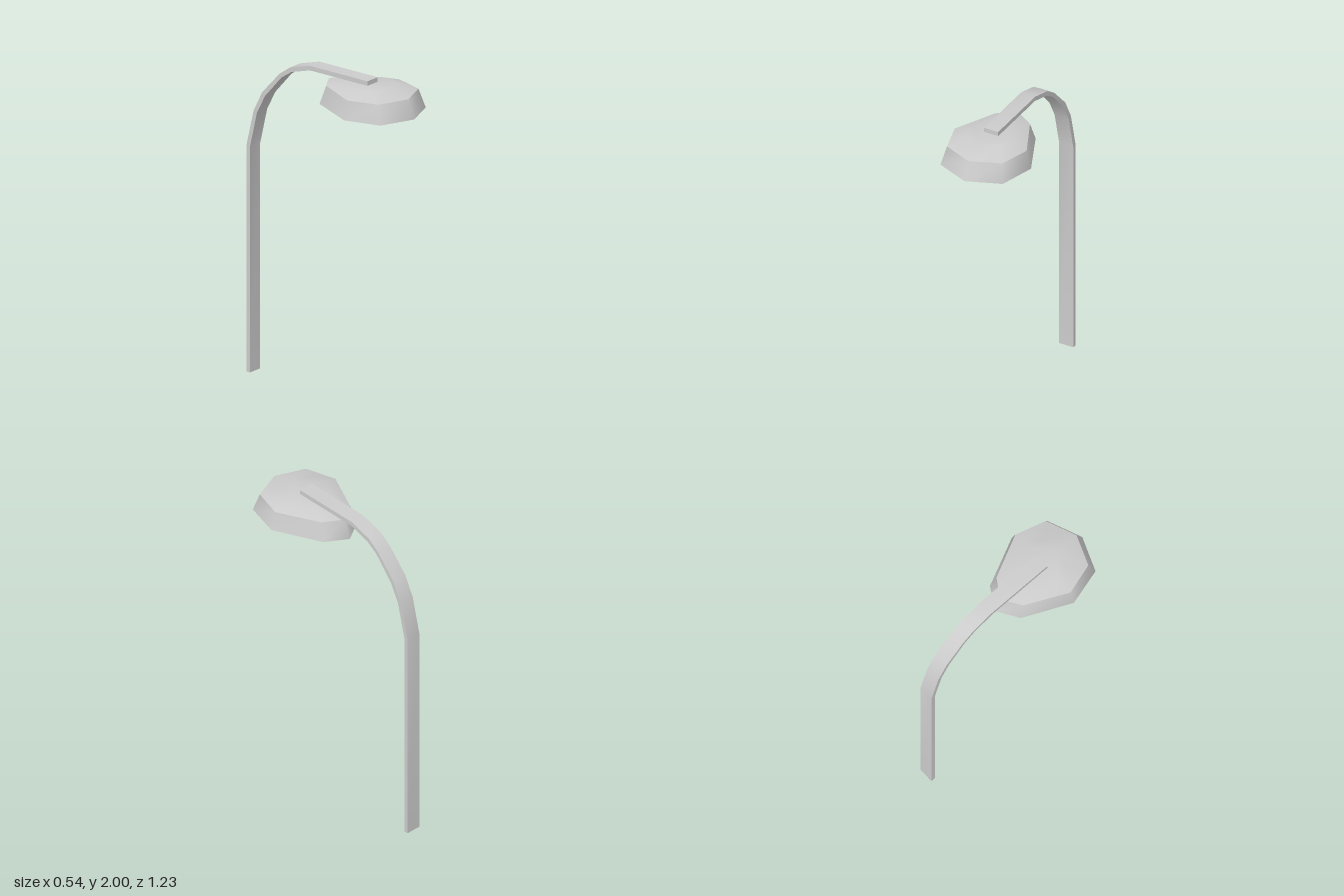
import * as THREE from 'three';
import { toCreasedNormals } from 'three/addons/utils/BufferGeometryUtils.js';

const grey = new THREE.MeshStandardMaterial({ color: 0xcccccc });
const yellow = new THREE.MeshStandardMaterial({ color: 0xccbb11 });

// Half outline (x, z) from front to back, mirrored into a closed ring at height y
function ring(y, half) {
  const mirrored = half.slice(1, -1).reverse().map(([x, z]) => [-x, z]);
  return [...half, ...mirrored].map(([x, z]) => new THREE.Vector3(x, y, z));
}

// Smooth skin over rings listed bottom to top, optionally closed on top
function skin(rings, closeTop = false) {
  const n = rings[0].length;
  const index = [];
  for (let r = 0; r < rings.length - 1; r++) {
    for (let i = 0; i < n; i++) {
      const a = r * n + i, b = r * n + (i + 1) % n;
      index.push(a, b, b + n, a, b + n, a + n);
    }
  }
  if (closeTop) {
    const s = (rings.length - 1) * n;
    for (let i = 1; i < n - 1; i++) index.push(s, s + i, s + i + 1);
  }
  const geo = new THREE.BufferGeometry().setFromPoints(rings.flat());
  geo.setIndex(index);
  geo.computeVertexNormals();
  return geo;
}

function add(group, name, geo, material) {
  const mesh = new THREE.Mesh(geo, material);
  mesh.name = name;
  group.add(mesh);
}

export function createModel() {
  const model = new THREE.Group();
  model.name = 'streetLamp';

  // Flat post curving forward into the arm: side profile as (z, y)
  const outer = [[-0.615, 0], [-0.615, 1.4], [-0.56, 1.63], [-0.495, 1.758],
    [-0.365, 1.9], [-0.285, 1.957], [-0.14, 2], [0.3, 2]];
  const inner = [[-0.588, 0], [-0.588, 1.395], [-0.535, 1.62], [-0.474, 1.738],
    [-0.35, 1.88], [-0.274, 1.931], [-0.135, 1.972], [0.3, 1.972]];
  const profile = [...outer, ...inner.reverse()].map(([z, y]) => new THREE.Vector2(z, y));
  const width = 0.095;
  const post = new THREE.ExtrudeGeometry(new THREE.Shape(profile), { depth: width, bevelEnabled: false });
  post.translate(0, 0, -width / 2).rotateY(-Math.PI / 2);
  add(model, 'post', toCreasedNormals(post, 0.6), grey);

  // Eight-sided egg-shaped lamp head
  const head = new THREE.Group();
  head.name = 'lampHead';
  model.add(head);
  const rim = ring(1.82, [[0, 0.615], [0.21, 0.53], [0.272, 0.305], [0.135, 0.01], [0, -0.075]]);
  const shoulder = ring(1.935, [[0, 0.57], [0.186, 0.495], [0.242, 0.305], [0.117, 0.045], [0, -0.03]]);
  const crown = ring(1.971, [[0, 0.42], [0.108, 0.385], [0.14, 0.29], [0.07, 0.155], [0, 0.12]]);
  add(head, 'lampSides', skin([rim, shoulder]), grey);
  add(head, 'lampTop', skin([shoulder, crown], true), grey);

  // Light panel closing the underside
  const panel = new THREE.ShapeGeometry(new THREE.Shape(rim.map((p) => new THREE.Vector2(p.x, p.z))));
  panel.rotateX(Math.PI / 2).translate(0, 1.82, 0);
  add(head, 'lightPanel', panel, yellow);

  return model;
}
